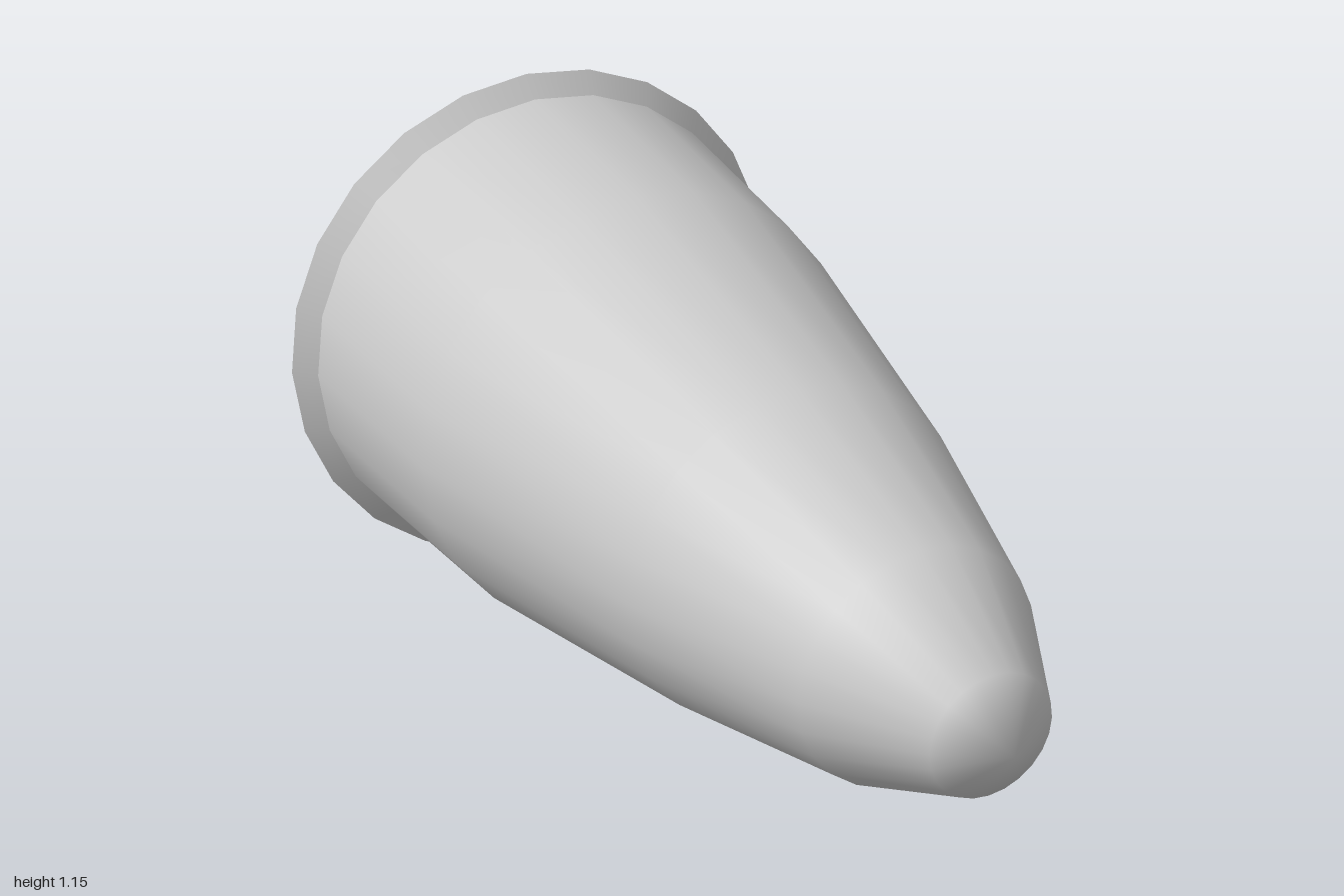
import * as THREE from 'three';

const SIDES = 24;
const CENTRE_Y = 0.577;

// Turns a [radius, z] profile, listed back to front, around the z axis
function turned(name, profile, material) {
  const points = profile.map(([r, z]) => new THREE.Vector2(r, z));
  const geometry = new THREE.LatheGeometry(points, SIDES);
  geometry.rotateX(Math.PI / 2);
  const mesh = new THREE.Mesh(geometry, material);
  mesh.name = name;
  mesh.position.y = CENTRE_Y;
  return mesh;
}

export function createModel() {
  const model = new THREE.Group();
  model.name = 'hollowNoseCone';
  const material = new THREE.MeshStandardMaterial({ color: 0xcccccc, side: THREE.DoubleSide });

  // Open-backed bullet-shaped shell
  const shell = turned('shell', [
    [0.533, -0.96], [0.5, -0.48], [0.372, 0.2], [0.255, 0.66], [0.13, 0.92], [0, 1],
  ], material);
  // Round the shading over the tip
  const { position, normal } = shell.geometry.attributes;
  for (let i = 0; i < position.count; i++) {
    if (position.getZ(i) > 0.99) normal.setXYZ(i, 0, 0, 1);
  }

  // Thin rim flaring out at the open back
  const rim = turned('flaredRim', [[0.577, -1], [0.533, -0.96]], material);

  model.add(shell, rim);
  return model;
}
